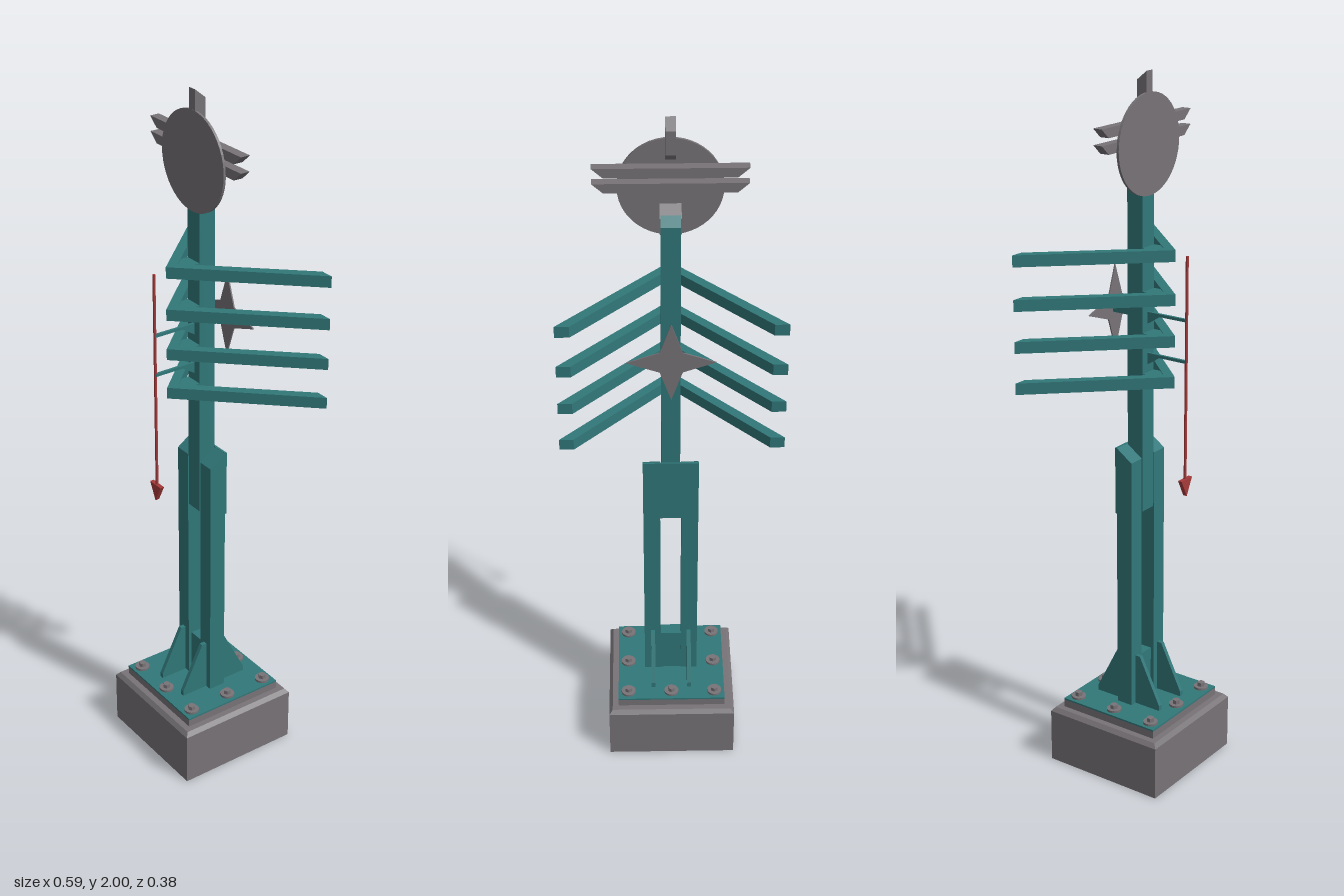
import * as THREE from 'three';

const mat = (name, color) => new THREE.MeshStandardMaterial({ name, color, flatShading: true });

export function createModel() {
  const root = new THREE.Group();
  root.name = 'signalMast';
  const grey = mat('grey', 0x777377);
  const teal = mat('teal', 0x317779);
  const red = mat('red', 0xa63a3a);

  const add = (name, geo, m) => {
    const mesh = new THREE.Mesh(geo, m);
    mesh.name = name;
    root.add(mesh);
    return mesh;
  };
  // Box given by its limits on each axis
  const box = (name, m, x0, x1, y0, y1, z0, z1) =>
    add(name, new THREE.BoxGeometry(x1 - x0, y1 - y0, z1 - z0)
      .translate((x0 + x1) / 2, (y0 + y1) / 2, (z0 + z1) / 2), m);
  const extrude = (pts, depth) => new THREE.ExtrudeGeometry(
    new THREE.Shape(pts.map(p => new THREE.Vector2(...p))), { depth, bevelEnabled: false });
  // Prism from a side profile [z, y], spanning x0..x1
  const side = (name, m, pts, x0, x1) =>
    add(name, extrude(pts, x1 - x0).rotateY(-Math.PI / 2).translate(x1, 0, 0), m);
  // Prism from a plan [x, z], spanning y0..y1
  const plan = (name, m, pts, y0, y1) =>
    add(name, extrude(pts, y1 - y0).rotateX(Math.PI / 2).translate(0, y1, 0), m);
  // Prism from a front outline [x, y], spanning z0..z1
  const front = (name, m, pts, z0, z1) =>
    add(name, extrude(pts, z1 - z0).translate(0, 0, z0), m);

  // Foundation block with chamfered top, and base plate
  const zc = 0.004;
  box('foundation', grey, -0.186, 0.186, 0, 0.158, zc - 0.186, zc + 0.186);
  const chamfer = new THREE.CylinderGeometry(0.176 * Math.SQRT2, 0.186 * Math.SQRT2, 0.012, 4)
    .rotateY(Math.PI / 4).translate(0, 0.164, zc);
  add('foundationChamfer', chamfer, grey);
  box('groutPad', grey, -0.158, 0.158, 0.17, 0.192, zc - 0.158, zc + 0.158);
  box('basePlate', teal, -0.158, 0.158, 0.192, 0.197, zc - 0.158, zc + 0.158);

  // Anchor bolts around the plate
  for (const i of [-1, 0, 1]) for (const j of [-1, 0, 1]) {
    if (!i && !j) continue;
    const x = i * 0.128, z = zc + j * 0.128;
    add('washer', new THREE.CylinderGeometry(0.021, 0.021, 0.007, 20).translate(x, 0.2, z), grey);
    add('boltHead', new THREE.CylinderGeometry(0.011, 0.011, 0.012, 6).translate(x, 0.209, z), grey);
  }

  // Twin lower posts with sloping tops, and foot gussets
  for (const s of [-1, 1]) {
    const xa = s > 0 ? 0.03 : -0.078;
    side('lowerPost', teal, [[-0.02, 0.195], [0.03, 0.195], [0.03, 0.945], [-0.02, 0.98]], xa, xa + 0.048);
    side('footGusset', teal,
      [[-0.105, 0.195], [0.113, 0.195], [0.113, 0.212], [0.045, 0.35], [-0.035, 0.35], [-0.105, 0.212]],
      s * 0.053 - 0.006, s * 0.053 + 0.006);
  }
  box('footWeb', teal, -0.03, 0.03, 0.195, 0.335, -0.018, 0.02);
  box('backPlate', teal, -0.078, 0.078, 0.785, 0.98, -0.025, -0.019);

  // Upper mast
  side('mast', teal, [[-0.02, 0.785], [0.03, 0.785], [0.03, 1.68], [0.022, 1.755], [-0.02, 1.72]], -0.026, 0.026);

  // Four V-shaped arms held by wedge brackets
  for (const y of [1.175, 1.29, 1.405, 1.525]) {
    plan('arms', teal, [[0, 0.118], [0.295, -0.193], [0.257, -0.193], [0, 0.08],
      [-0.257, -0.193], [-0.295, -0.193]], y - 0.016, y + 0.016);
    plan('armBracket', teal, [[-0.026, 0.028], [0.026, 0.028], [0.026, 0.054], [0, 0.082], [-0.026, 0.054]],
      y - 0.014, y + 0.014);
  }

  // Hanging pointer on two stand-off rods
  add('pointerRod', new THREE.CylinderGeometry(0.004, 0.004, 0.63, 10).translate(0, 1.215, 0.155), red);
  front('pointerTip', red, [[-0.025, 0.905], [0, 0.855], [0.025, 0.905]], 0.149, 0.161);
  for (const y of [1.24, 1.355]) {
    box('standoff', teal, -0.004, 0.004, y - 0.004, y + 0.004, 0.028, 0.155);
    side('standoffBrace', teal, [[0.028, y - 0.03], [0.075, y], [0.028, y]], -0.004, 0.004);
  }

  // Four-pointed star on the back
  const star = [];
  for (let i = 0; i < 8; i++) {
    const a = i * Math.PI / 4, r = i % 2 ? 0.043 : 0.118;
    star.push([r * Math.cos(a), 1.355 + r * Math.sin(a)]);
  }
  front('star', grey, star, -0.083, -0.079);
  box('starArm', teal, -0.012, 0.012, 1.343, 1.367, -0.08, -0.018);
  box('starClip', teal, -0.003, 0.003, 1.367, 1.38, -0.05, -0.018);

  // Round head with mitred crossbars and spike behind it
  add('headDisc', new THREE.CylinderGeometry(0.135, 0.135, 0.007, 48)
    .rotateX(Math.PI / 2).translate(0, 1.81, 0.03), grey);
  for (const y of [1.808, 1.85])
    front('crossbar', grey, [[-0.168, y], [0.168, y], [0.197, y + 0.026], [-0.197, y + 0.026]], 0, 0.027);
  side('topSpike', grey, [[0.033, 1.88], [0.033, 2], [0.002, 1.975], [0.002, 1.91]], -0.013, 0.013);
  side('headMount', grey, [[0, 1.69], [0.027, 1.68], [0.027, 1.765], [0, 1.735]], -0.028, 0.028);

  return root;
}
